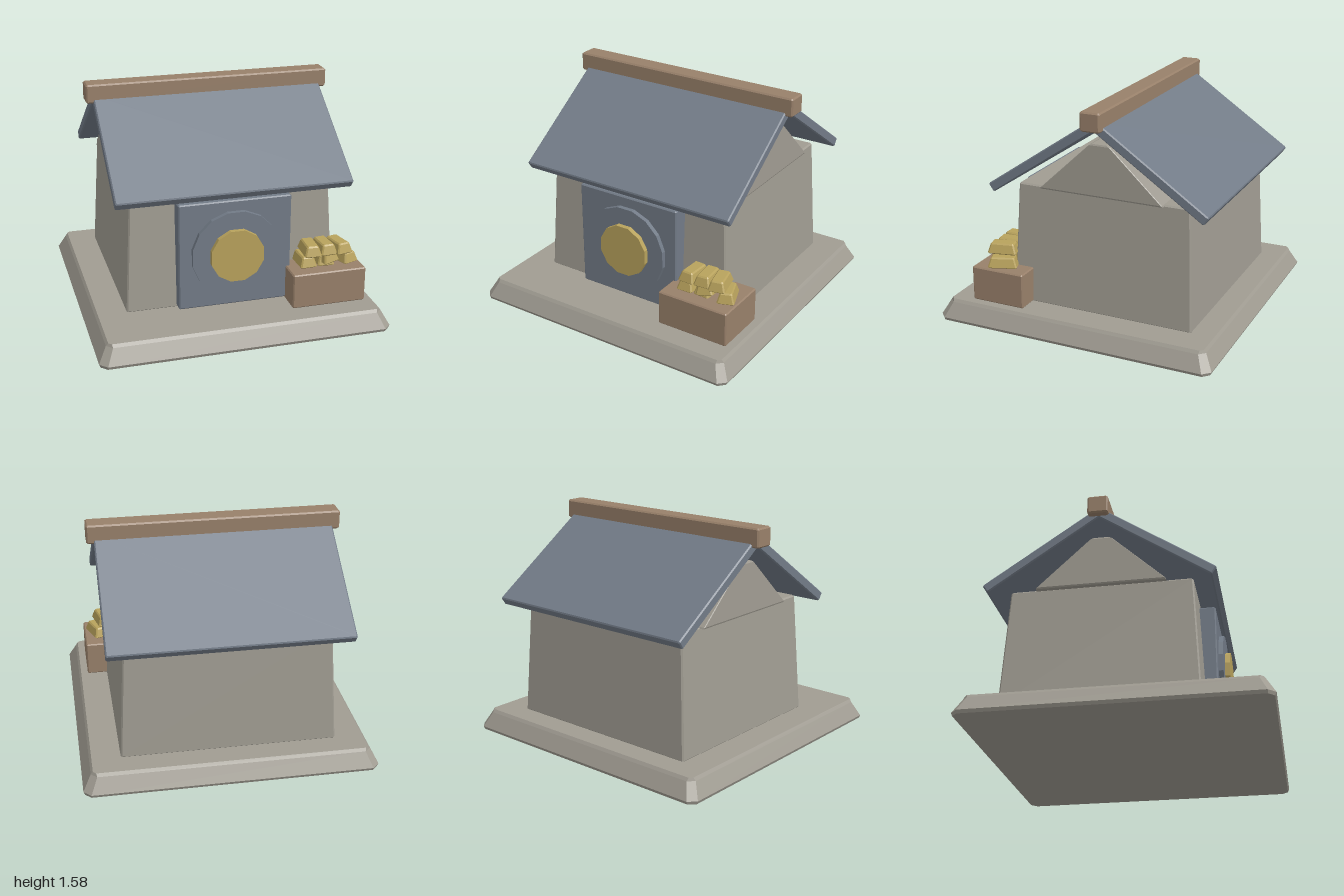
import * as THREE from 'three';

// Closed solid from stacked chamfered rectangles: [y, halfX, halfZ, cornerCut]
function loft(layers) {
  const rings = layers.map(([y, hx, hz, c]) => [
    [hx - c, hz], [hx, hz - c], [hx, -hz + c], [hx - c, -hz],
    [-hx + c, -hz], [-hx, -hz + c], [-hx, hz - c], [-hx + c, hz],
  ].map(([x, z]) => [x, y, z]));
  const pos = [];
  const tri = (a, b, c) => pos.push(...a, ...b, ...c);
  for (let k = 0; k < rings.length - 1; k++) {
    const lo = rings[k], hi = rings[k + 1];
    for (let i = 0; i < 8; i++) {
      const j = (i + 1) % 8;
      tri(lo[i], lo[j], hi[j]);
      tri(lo[i], hi[j], hi[i]);
    }
  }
  const bottom = rings[0], top = rings[rings.length - 1];
  for (let i = 1; i < 7; i++) {
    tri(top[0], top[i], top[i + 1]);
    tri(bottom[0], bottom[i + 1], bottom[i]);
  }
  const g = new THREE.BufferGeometry();
  g.setAttribute('position', new THREE.Float32BufferAttribute(pos, 3));
  g.computeVertexNormals();
  return g;
}

// Bevelled block standing on y = 0 that can narrow towards its top
function block(w, h, d, bevel, topW = w, topD = d) {
  const b = bevel;
  return loft([
    [0, w / 2 - b, d / 2 - b, b / 2],
    [b, w / 2, d / 2, b],
    [h - b, topW / 2, topD / 2, b],
    [h, topW / 2 - b, topD / 2 - b, b / 2],
  ]);
}

export function createModel() {
  const model = new THREE.Group();
  const material = (name, color) => {
    const m = new THREE.MeshStandardMaterial({ color });
    m.name = name;
    return m;
  };
  const stone = material('stone', 0xa09c92);
  const slate = material('slate', 0x727b87);
  const wood = material('wood', 0x98806a);
  const gold = material('gold', 0xb8a25c);

  const add = (name, geometry, mat, x = 0, y = 0, z = 0) => {
    const mesh = new THREE.Mesh(geometry, mat);
    mesh.name = name;
    mesh.position.set(x, y, z);
    model.add(mesh);
    return mesh;
  };

  const houseZ = -0.12;

  // Plinth
  add('plinth', loft([
    [0, 0.99, 0.99, 0.04], [0.022, 1, 1, 0.05],
    [0.125, 0.945, 0.945, 0.04], [0.145, 0.93, 0.93, 0.02],
  ]), stone);

  // Walls and gable
  add('walls', block(1.47, 0.84, 1.31, 0.01, 1.38, 1.235), stone, 0, 0.14, houseZ);
  add('gable', loft([
    [0.972, 0.72, 0.44, 0.005], [0.982, 0.725, 0.435, 0.005],
    [1.32, 0.725, 0.075, 0.005], [1.33, 0.72, 0.055, 0.005],
  ]), stone, 0, 0, houseZ);

  // Two roof slabs and the ridge beam
  const slab = block(1.62, 0.066, 0.917, 0.008);
  slab.translate(0, -0.033, 0);
  for (const side of [1, -1]) {
    const roof = add(side > 0 ? 'frontRoof' : 'backRoof', slab, slate, 0, 1.215, houseZ + side * 0.387);
    roof.rotation.x = side * 0.597;
  }
  add('ridgeBeam', block(1.72, 0.13, 0.14, 0.01), wood, 0, 1.445, houseZ);

  // Vault door with round plate and knob
  add('door', block(0.78, 0.755, 0.14, 0.008), slate, 0, 0.155, 0.54);
  const disc = (name, radius, sides, z0, z1, mat) => {
    const g = new THREE.CylinderGeometry(radius, radius, z1 - z0, sides).toNonIndexed();
    g.rotateX(Math.PI / 2);
    g.rotateZ(Math.PI / sides);
    g.computeVertexNormals();
    add(name, g, mat, 0, 0.535, (z0 + z1) / 2);
  };
  disc('doorPlate', 0.307, 16, 0.59, 0.642, slate);
  disc('doorKnob', 0.187, 12, 0.62, 0.676, gold);

  // Crate with a stack of ingots
  add('crate', block(0.52, 0.245, 0.39, 0.008), wood, 0.62, 0.145, 0.585);
  const ingot = block(0.118, 0.075, 0.2, 0.009, 0.085, 0.165);
  const stack = [
    // x, y, z, turn, tilt
    [0.5, 0.388, 0.59, 0.03, 0],
    [0.635, 0.388, 0.585, -0.08, 0],
    [0.78, 0.388, 0.59, 0.35, 0],
    [0.53, 0.472, 0.61, -0.05, 0],
    [0.635, 0.472, 0.605, 0.08, 0],
    [0.735, 0.472, 0.61, 0.22, 0],
    [0.64, 0.415, 0.605, 0.25, 0.12],
  ];
  for (const [x, y, z, turn, tilt] of stack) {
    add('ingot', ingot, gold, x, y, z).rotation.set(0, turn, tilt);
  }

  return model;
}
